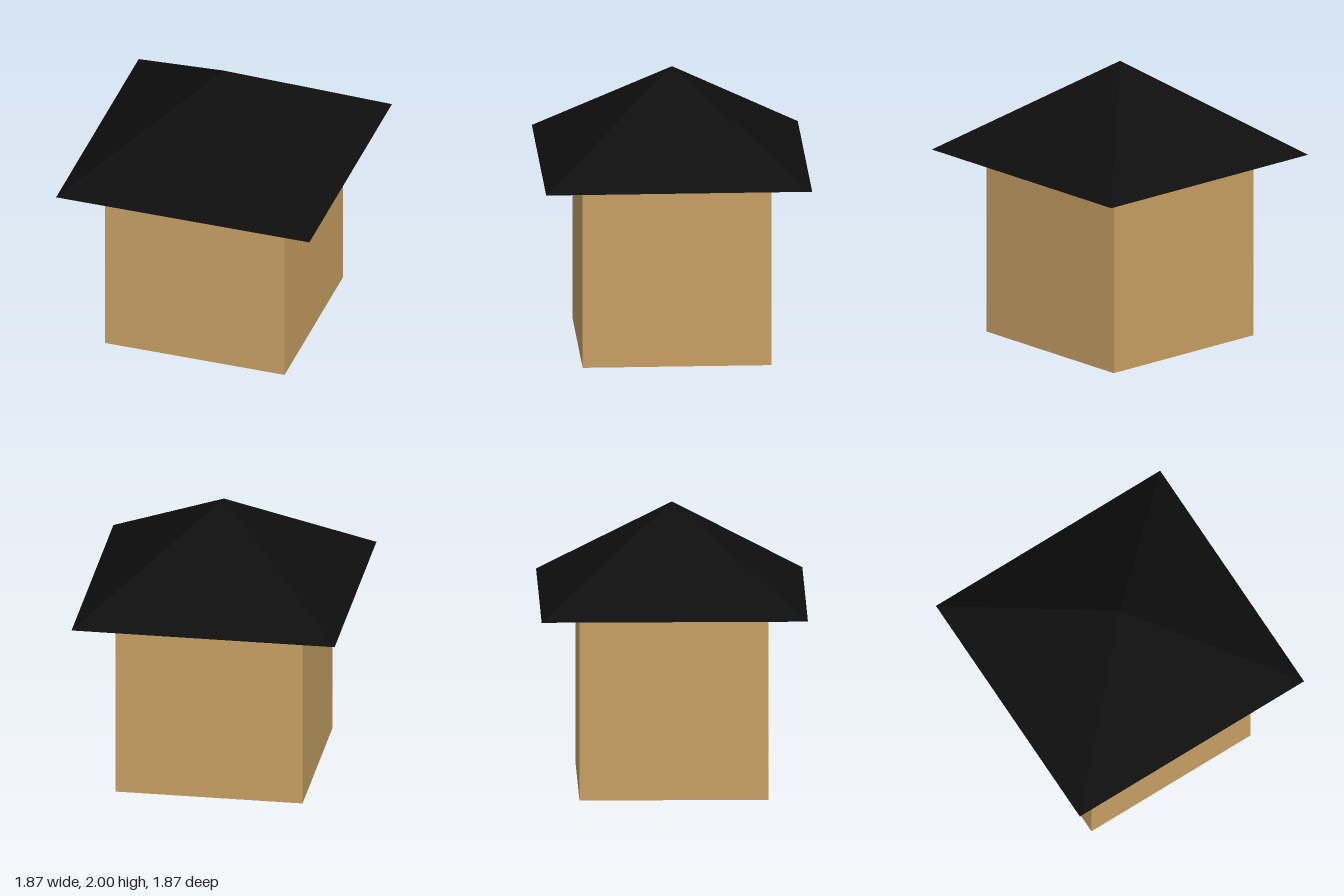
import * as THREE from 'three';

export function createModel() {
  const model = new THREE.Group();
  model.name = 'hut';

  const tan = new THREE.MeshStandardMaterial({ color: 0xc8a064 });
  tan.name = 'tan wood';
  const black = new THREE.MeshStandardMaterial({ color: 0x0e0e0e });
  black.name = 'black roofing';
  black.flatShading = true;

  const wallSize = 1.325, eaveY = 1.33, roofHalf = 0.933;

  // Square walls with floor
  const walls = new THREE.Mesh(new THREE.BoxGeometry(wallSize, eaveY, wallSize), tan);
  walls.name = 'walls';
  walls.position.y = eaveY / 2;
  model.add(walls);

  // Pyramid roof: black slopes, tan underside (cone groups: 0 side, 1 top, 2 base)
  const roofHeight = 2 - eaveY;
  const roofGeometry = new THREE.ConeGeometry(roofHalf * Math.SQRT2, roofHeight, 4);
  roofGeometry.rotateY(Math.PI / 4);
  const roof = new THREE.Mesh(roofGeometry, [black, black, tan]);
  roof.name = 'roof';
  roof.position.y = eaveY + roofHeight / 2;
  model.add(roof);

  return model;
}
